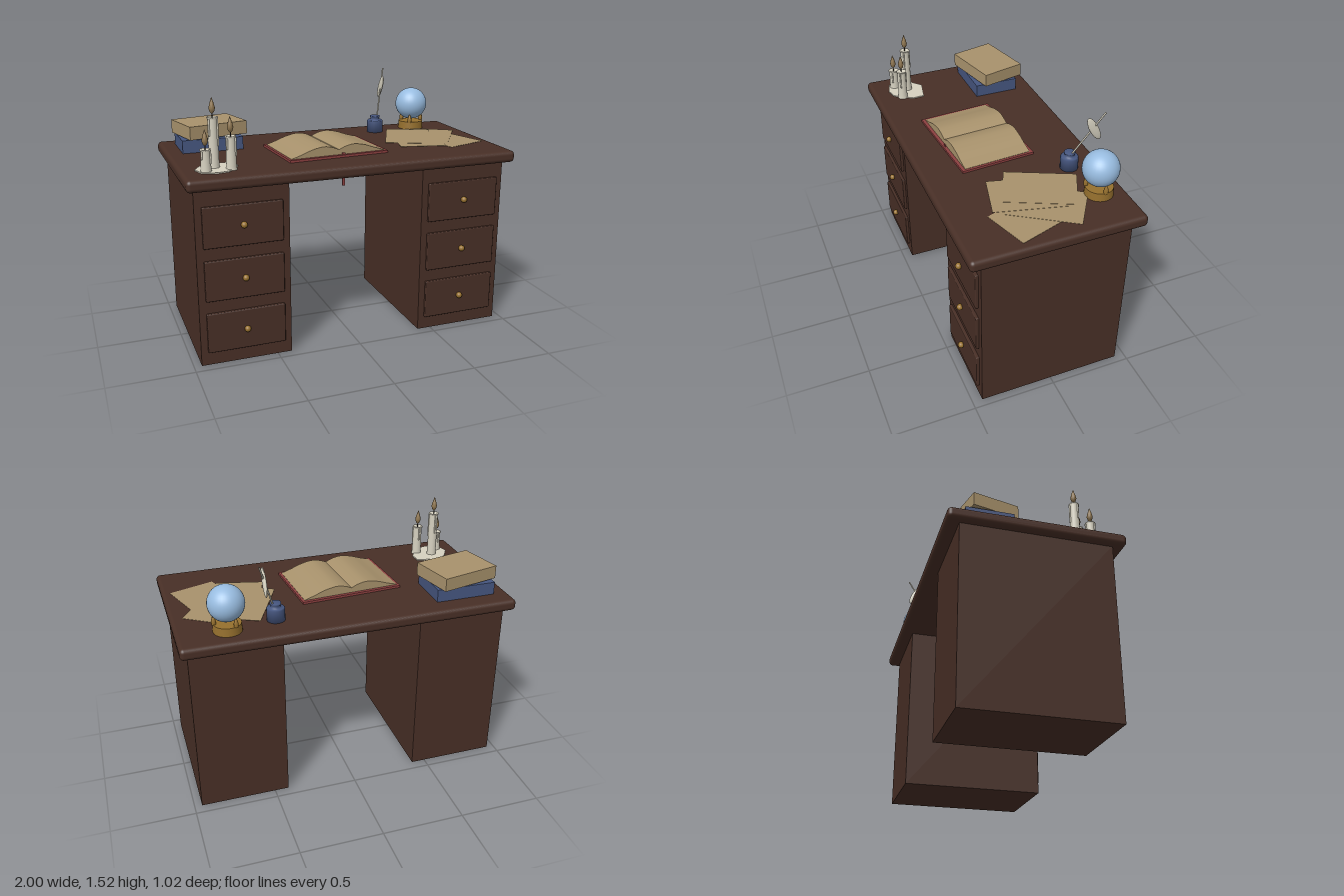
import * as THREE from 'three';
import { RoundedBoxGeometry } from 'three/addons/geometries/RoundedBoxGeometry.js';

const TOP = 1.12; // height of the writing surface

export function createModel() {
  const root = new THREE.Group();
  root.name = 'writingDesk';
  const mat = (name, color, side = THREE.FrontSide) => {
    const m = new THREE.MeshStandardMaterial({ color, side });
    m.name = name;
    return m;
  };
  const wood = mat('darkWood', 0x482f26);
  const paper = mat('parchment', 0xa8926c);
  const wax = mat('wax', 0xd6d1c0);
  const brass = mat('brass', 0x96702e);
  const blue = mat('navyBlue', 0x46567f);
  const red = mat('redLeather', 0x8c4040);
  const glass = mat('paleBlueGlass', 0x98bce0);
  const flame = mat('flame', 0x8f7650);
  const dark = mat('wick', 0x2e2722);

  const add = (name, geometry, material, x, y, z, parent = root) => {
    const m = new THREE.Mesh(geometry, material);
    m.name = name;
    m.position.set(x, y, z);
    parent.add(m);
    return m;
  };
  const group = (name, x, y, z, ry = 0) => {
    const g = new THREE.Group();
    g.name = name;
    g.position.set(x, y, z);
    g.rotation.y = ry;
    root.add(g);
    return g;
  };
  const box = (w, h, d) => new THREE.BoxGeometry(w, h, d);
  const cyl = (r0, r1, h, n = 24) => new THREE.CylinderGeometry(r0, r1, h, n);
  const lathe = (pts, n = 16) => new THREE.LatheGeometry(pts.map(p => new THREE.Vector2(...p)), n);

  // Desk top and the two drawer pedestals
  add('deskTop', new RoundedBoxGeometry(2, 0.07, 1.025, 4, 0.025), wood, 0, 1.085, 0);
  for (const s of [-1, 1]) {
    const p = group(s > 0 ? 'leftPedestal' : 'rightPedestal', s * 0.685, 0, 0);
    add('cabinet', box(0.54, 1.055, 0.88), wood, 0, 0.5275, 0, p);
    for (const y of [0.2, 0.515, 0.83]) {
      add('drawerFront', new RoundedBoxGeometry(0.46, 0.24, 0.03, 2, 0.006), wood, 0, y, 0.443, p);
      add('knobStem', cyl(0.008, 0.012, 0.02, 12), brass, 0, y + 0.003, 0.46, p).rotation.x = Math.PI / 2;
      add('knob', new THREE.SphereGeometry(0.019, 16, 12), brass, 0, y + 0.003, 0.468, p);
    }
  }

  // Closed books
  add('lowerBook', box(0.37, 0.078, 0.28), blue, -0.72, TOP + 0.039, -0.255);
  add('upperBook', box(0.375, 0.08, 0.282), paper, -0.712, 1.245, -0.26).rotation.y = 0.23;

  // Open book: cover, two arched page blocks and a ribbon
  const book = group('openBook', -0.072, TOP, 0.07, 0.072);
  add('cover', box(0.63, 0.014, 0.46), red, 0, 0.007, 0, book);
  const arch = [[-0.3, 0.016], [-0.24, 0.034], [-0.17, 0.058], [-0.1, 0.07], [-0.045, 0.062], [0, 0.044]];
  for (const s of [-1, 1]) {
    const shape = new THREE.Shape();
    shape.moveTo(0, 0.012);
    shape.lineTo(0, 0.044);
    shape.splineThru(arch.slice(0, -1).reverse().map(([x, y]) => new THREE.Vector2(-s * x, y)));
    shape.lineTo(s * 0.3, 0.012);
    const pages = new THREE.ExtrudeGeometry(shape, { depth: 0.42, bevelEnabled: false, curveSegments: 20 });
    add('pageBlock', pages, paper, 0, 0, -0.21, book);
  }
  add('ribbon', box(0.018, 0.2, 0.006), red, -0.03, 1.045, 0.284);

  // Loose sheets: x, z, turn
  [[0.75, 0.05, 0.32], [0.695, -0.05, -0.58], [0.575, 0.02, -0.245], [0.555, -0.07, -0.435]]
    .forEach(([x, z, ry], i) => {
      add('sheet', box(0.285, 0.0016, 0.42), paper, x, TOP + 0.002 + i * 0.0018, z).rotation.y = ry;
    });

  // Wax puddle
  const outline = [[-0.81, 0.18], [-0.67, 0.21], [-0.665, 0.285], [-0.74, 0.395],
    [-0.81, 0.41], [-0.89, 0.385], [-0.915, 0.305], [-0.875, 0.235]];
  const puddle = new THREE.Shape(outline.map(([x, z]) => new THREE.Vector2(x, -z)));
  add('waxPuddle', new THREE.ExtrudeGeometry(puddle, { depth: 0.007, bevelEnabled: false }), wax, 0, TOP, 0)
    .rotation.x = -Math.PI / 2;

  // Candles: x, z, height
  for (const [x, z, h] of [[-0.8, 0.285, 0.29], [-0.86, 0.355, 0.13], [-0.715, 0.34, 0.19]]) {
    const c = group('candle', x, TOP, z);
    add('candleBody', lathe([[0.032, 0], [0.029, 0.02], [0.027, h - 0.012], [0.032, h - 0.006],
      [0.031, h], [0.024, h], [0.018, h - 0.006], [0, h - 0.006]], 20), wax, 0, 0, 0, c);
    for (const [a, len] of [[0.6, 0.5], [2.6, 0.3], [4.6, 0.4]]) {
      add('drip', new THREE.CapsuleGeometry(0.006, h * len, 4, 8), wax,
        Math.cos(a) * 0.028, h - 0.012 - h * len / 2, Math.sin(a) * 0.028, c);
    }
    add('wick', cyl(0.003, 0.003, 0.035, 6), dark, 0, h + 0.01, 0, c);
    add('candleFlame', lathe([[0, 0], [0.012, 0.012], [0.018, 0.032], [0.013, 0.055], [0.005, 0.08], [0, 0.095]]),
      flame, 0, h + 0.015, 0, c);
  }

  // Glass ball on a brass stand with three prongs
  const ball = group('crystalBall', 0.71, TOP, -0.357);
  add('ball', new THREE.SphereGeometry(0.105, 32, 24), glass, 0, 0.168, 0, ball);
  add('stand', cyl(0.08, 0.083, 0.05, 32), brass, 0, 0.025, 0, ball);
  for (let i = 0; i < 3; i++) {
    const a = i * Math.PI * 2 / 3;
    add('prong', lathe([[0.012, 0], [0.014, 0.02], [0.009, 0.04], [0, 0.062]], 10), brass,
      Math.cos(a) * 0.075, 0.046, Math.sin(a) * 0.075, ball);
  }

  // Inkwell
  add('inkwell', lathe([[0, 0], [0.053, 0], [0.053, 0.074], [0.048, 0.08], [0.028, 0.08], [0.028, 0.095],
    [0.032, 0.098], [0.032, 0.108], [0, 0.108]], 24), blue, 0.425, TOP, -0.315);

  // Quill: shaft and feather vane
  const from = new THREE.Vector3(0.435, 1.2, -0.31), to = new THREE.Vector3(0.54, 1.52, -0.46);
  add('quillShaft', new THREE.TubeGeometry(new THREE.LineCurve3(from, to), 1, 0.005, 8), wax, 0, 0, 0);
  const vane = add('quillVane', new THREE.SphereGeometry(1, 16, 12), wax, 0.505, 1.405, -0.413);
  vane.scale.set(0.012, 0.085, 0.027);
  vane.rotation.x = 0.5;

  return root;
}
